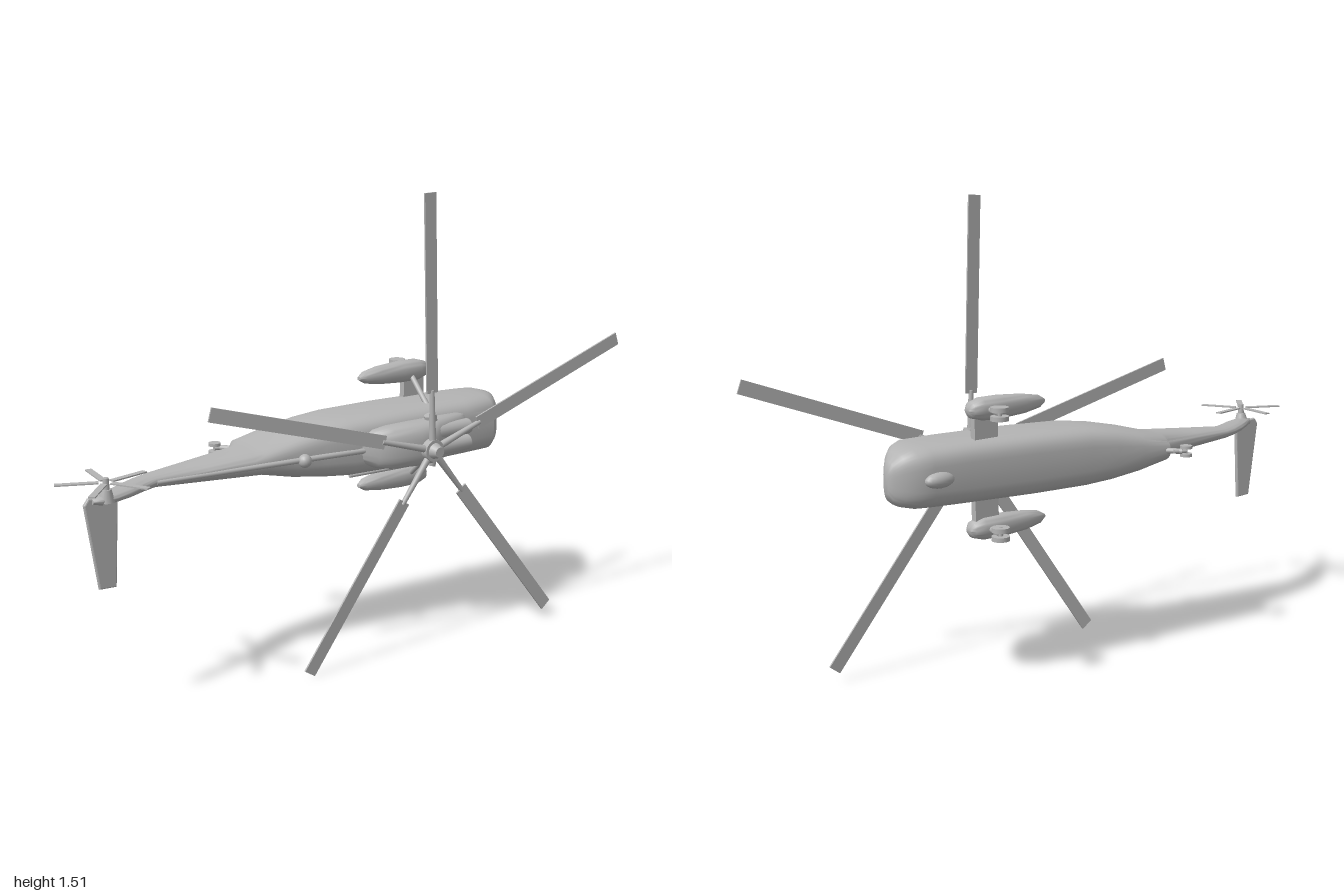
import * as THREE from 'three';
import { toCreasedNormals } from 'three/addons/utils/BufferGeometryUtils.js';

const V = (x, y, z) => new THREE.Vector3(x, y, z);
const MID = 0.706; // lateral centre line; the craft's own "up" is +z, its nose is +x

// Closed hull along x from rows of [x, zLow, zHigh, yCentre, halfWidth, roundness]
function loft(rows, seg = 28, crease = 0.7) {
  const pos = [], idx = [];
  const pw = (v, p) => Math.sign(v) * Math.abs(v) ** p;
  for (const [x, z0, z1, yc, w, p] of rows) {
    for (let j = 0; j < seg; j++) {
      const a = (j / seg) * Math.PI * 2;
      pos.push(x, yc + w * pw(Math.cos(a), p), (z0 + z1) / 2 + ((z1 - z0) / 2) * pw(Math.sin(a), p));
    }
  }
  const last = rows.length - 1, c0 = pos.length / 3;
  for (const r of [rows[0], rows[last]]) pos.push(r[0], r[3], (r[1] + r[2]) / 2);
  for (let j = 0; j < seg; j++) {
    const k = (j + 1) % seg;
    for (let i = 0; i < last; i++) {
      const a = i * seg + j, b = i * seg + k;
      idx.push(a, b, a + seg, b, b + seg, a + seg);
    }
    idx.push(c0, k, j, c0 + 1, last * seg + j, last * seg + k);
  }
  const g = new THREE.BufferGeometry();
  g.setAttribute('position', new THREE.Float32BufferAttribute(pos, 3));
  g.setIndex(idx);
  return toCreasedNormals(g, crease);
}

export function createModel() {
  const model = new THREE.Group();
  model.name = 'helicopter';
  const grey = new THREE.MeshStandardMaterial({ color: 0xb4b4b4 });

  const add = (name, geo, parent = model) => {
    const m = new THREE.Mesh(geo, grey);
    m.name = name;
    parent.add(m);
    return m;
  };
  const rod = (name, a, b, r0, r1 = r0, seg = 14, parent = model) => {
    const d = b.clone().sub(a);
    const m = add(name, new THREE.CylinderGeometry(r1, r0, d.length(), seg), parent);
    m.position.copy(a).addScaledVector(d, 0.5);
    m.quaternion.setFromUnitVectors(V(0, 1, 0), d.normalize());
    return m;
  };
  const ball = (name, p, sx, sy, sz) => {
    const m = add(name, new THREE.SphereGeometry(1, 16, 12));
    m.position.copy(p);
    m.scale.set(sx, sy, sz);
    return m;
  };

  // Boat-shaped fuselage with stepped hull, tail boom and swept-up tail pylon
  add('fuselage', loft([
    [-0.905, 0.032, 0.05, 0.69, 0.008, 0.9],
    [-0.88, 0.018, 0.062, 0.69, 0.014, 0.9],
    [-0.83, -0.015, 0.058, 0.69, 0.016, 0.9],
    [-0.78, -0.046, 0.042, 0.69, 0.017, 0.9],
    [-0.72, -0.075, 0.012, 0.69, 0.018, 0.9],
    [-0.665, -0.092, -0.013, 0.69, 0.02, 0.9],
    [-0.5, -0.118, 0.012, 0.692, 0.031, 0.85],
    [-0.345, -0.14, 0.031, 0.694, 0.042, 0.8],
    [-0.305, -0.194, 0.036, 0.695, 0.047, 0.75],
    [-0.2, -0.189, 0.05, 0.697, 0.072, 0.65],
    [-0.1, -0.182, 0.066, 0.7, 0.089, 0.6],
    [0, -0.173, 0.085, 0.702, 0.098, 0.55],
    [0.2, -0.16, 0.099, 0.704, 0.1, 0.52],
    [0.45, -0.141, 0.107, 0.706, 0.098, 0.52],
    [0.56, -0.133, 0.11, 0.706, 0.096, 0.55],
    [0.605, -0.128, 0.073, 0.706, 0.092, 0.58],
    [0.645, -0.107, 0.02, 0.706, 0.081, 0.62],
    [0.673, -0.085, -0.022, 0.704, 0.06, 0.7],
    [0.683, -0.07, -0.042, 0.703, 0.035, 0.8],
  ], 36));

  // Gearbox fairing on the roof
  add('rotorFairing', loft([
    [0.02, 0.05, 0.085, 0.7, 0.04, 0.8],
    [0.06, 0.05, 0.128, 0.7, 0.062, 0.75],
    [0.11, 0.05, 0.155, 0.7, 0.07, 0.7],
    [0.2, 0.05, 0.172, 0.7, 0.073, 0.7],
    [0.26, 0.05, 0.175, 0.7, 0.073, 0.7],
    [0.29, 0.05, 0.16, 0.702, 0.072, 0.7],
    [0.4, 0.06, 0.135, 0.704, 0.068, 0.65],
    [0.43, 0.07, 0.115, 0.704, 0.06, 0.7],
  ]));

  // Twin engines with intakes, and side exhausts
  for (const s of [-1, 1]) {
    const y = 0.703 + s * 0.027;
    rod('engine', V(0.26, y, 0.135), V(0.42, y, 0.132), 0.028, 0.026, 20);
    const lip = add('engineIntake', new THREE.TorusGeometry(0.019, 0.007, 10, 24));
    lip.position.set(0.42, y, 0.132);
    lip.rotation.y = Math.PI / 2;
    rod('intakeCone', V(0.42, y, 0.132), V(0.442, y, 0.132), 0.01, 0.003);
    rod('exhaust', V(0.28, 0.702 + s * 0.045, 0.12), V(0.27, 0.702 + s * 0.085, 0.12), 0.02, 0.021, 18);
  }

  // Main rotor: mast, hub and five blades given by their tips
  const hub = V(0.217, 0.695, 0.2);
  rod('rotorMast', V(0.217, 0.695, 0.16), V(0.217, 0.695, 0.19), 0.025, 0.02);
  rod('rotorHub', V(0.217, 0.695, 0.187), V(0.217, 0.695, 0.213), 0.036, 0.036, 24);
  rod('rotorCap', V(0.217, 0.695, 0.213), V(0.217, 0.695, 0.238), 0.026, 0.017, 20);
  const tips = [[0.187, 1.517, 0.203], [0.992, 0.978, 0.245], [0.724, 0.052, 0.222],
    [-0.236, 0.02, 0.155], [-0.57, 0.917, 0.14]];
  for (const t of tips) {
    const dir = V(...t).sub(hub), len = dir.length();
    dir.normalize();
    const chord = V(0, 0, 1).cross(dir).normalize();
    const arm = new THREE.Group();
    arm.name = 'mainRotorBlade';
    arm.position.copy(hub);
    arm.quaternion.setFromRotationMatrix(new THREE.Matrix4().makeBasis(dir, chord, dir.clone().cross(chord)));
    add('blade', new THREE.BoxGeometry(len - 0.19, 0.044, 0.006), arm).position.x = (len + 0.19) / 2;
    rod('bladeGrip', V(0.02, 0, 0), V(0.2, 0, 0), 0.012, 0.008, 12, arm);
    model.add(arm);
  }

  // Tail rotor on the left of the pylon, spinning in the x-z plane
  const tail = new THREE.Group();
  tail.name = 'tailRotor';
  tail.position.set(-0.862, 0.742, 0.045);
  for (let i = 0; i < 5; i++) {
    const spoke = new THREE.Group();
    spoke.rotation.y = 1.47 + (i * Math.PI * 2) / 5;
    add('tailBlade', new THREE.BoxGeometry(0.125, 0.004, 0.02), spoke).position.x = 0.083;
    tail.add(spoke);
  }
  model.add(tail);
  rod('tailRotorGearbox', V(-0.862, 0.685, 0.042), V(-0.862, 0.722, 0.045), 0.026, 0.015);
  rod('tailRotorHub', V(-0.862, 0.715, 0.045), V(-0.862, 0.755, 0.045), 0.011, 0.009);

  // Tapered stabiliser on the right of the pylon
  const plan = new THREE.Shape([[-0.93, 0.68], [-0.893, 0.418], [-0.838, 0.415], [-0.822, 0.69], [-0.915, 0.7]]
    .map(([x, y]) => new THREE.Vector2(x, y)));
  add('stabiliser', new THREE.ExtrudeGeometry(plan, {
    depth: 0.006, bevelEnabled: true, bevelThickness: 0.004, bevelSize: 0.004, bevelOffset: -0.004, bevelSegments: 2,
  })).position.z = 0.03;

  // Side floats with pylons, braces and twin-wheel landing gear
  for (const s of [-1, 1]) {
    const y = (d) => MID + s * d, c = y(0.185);
    add('sideFloat', loft([
      [0.125, -0.085, -0.068, c, 0.006, 0.9],
      [0.15, -0.1, -0.06, c, 0.02, 0.85],
      [0.21, -0.113, -0.053, c, 0.03, 0.8],
      [0.3, -0.12, -0.049, c, 0.036, 0.8],
      [0.37, -0.12, -0.049, c, 0.035, 0.8],
      [0.405, -0.112, -0.058, c, 0.025, 0.85],
      [0.417, -0.098, -0.072, c, 0.01, 0.9],
    ], 24));
    const pylon = add('floatPylon', new THREE.BoxGeometry(0.085, 0.1, 0.022));
    pylon.position.set(0.355, y(0.125), -0.085);
    rod('floatBrace', V(0.325, y(0.085), 0.04), V(0.335, y(0.18), -0.07), 0.009);
    rod('gearLeg', V(0.35, c, -0.1), V(0.365, c, -0.18), 0.01);
    rod('wheelAxle', V(0.365, y(0.162), -0.18), V(0.365, y(0.204), -0.18), 0.007);
    for (const d of [0.17, 0.197]) {
      rod('wheel', V(0.365, y(d - 0.007), -0.18), V(0.365, y(d + 0.007), -0.18), 0.028, 0.028, 24);
    }
  }

  // Tail wheel at the hull step
  rod('tailWheelLeg', V(-0.29, 0.695, -0.185), V(-0.325, 0.695, -0.228), 0.009);
  rod('tailWheelAxle', V(-0.34, 0.677, -0.23), V(-0.34, 0.713, -0.23), 0.005);
  rod('tailWheelFork', V(-0.3, 0.695, -0.215), V(-0.34, 0.695, -0.23), 0.007);
  for (const d of [-0.013, 0.013]) {
    rod('tailWheel', V(-0.34, 0.69 + d, -0.23), V(-0.34, 0.7 + d, -0.23), 0.02, 0.02, 20);
  }

  // Small fittings: belly fairing, roof beacon, spine cover and cabin rails
  ball('bellyFairing', V(0.55, 0.706, -0.136), 0.05, 0.024, 0.024);
  ball('roofBeacon', V(-0.183, 0.693, 0.058), 0.022, 0.022, 0.022);
  rod('spineCover', V(-0.665, 0.69, -0.016), V(0.04, 0.698, 0.086), 0.007, 0.01);
  rod('doorRail', V(0, 0.608, 0.045), V(0.28, 0.608, 0.06), 0.006);
  return model;
}
